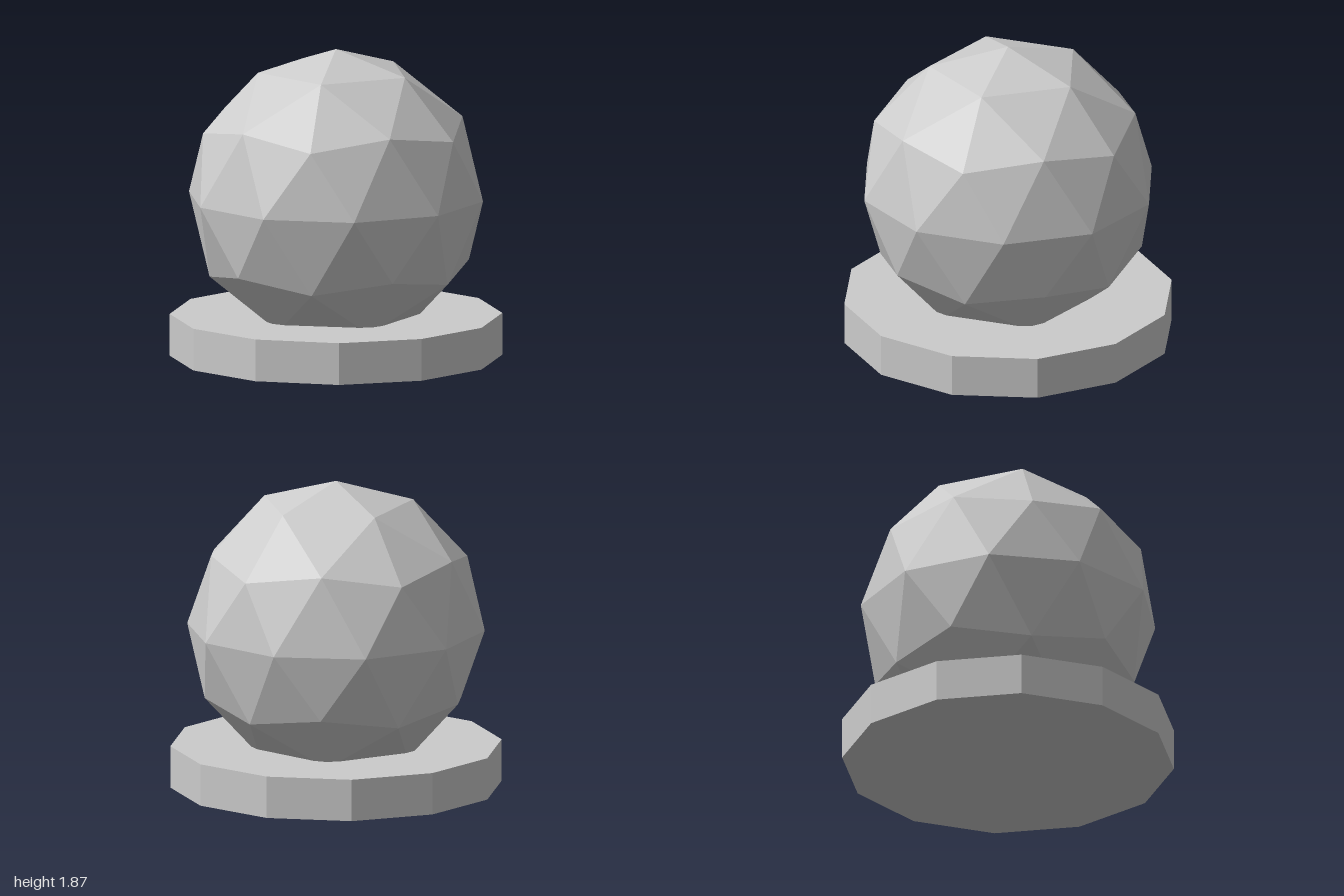
import * as THREE from 'three';

export function createModel() {
  const model = new THREE.Group();
  const material = new THREE.MeshStandardMaterial({ color: 0xcccccc, flatShading: true });

  const addPart = (name, geometry, y) => {
    geometry.computeVertexNormals();
    const mesh = new THREE.Mesh(geometry, material);
    mesh.name = name;
    mesh.position.y = y;
    model.add(mesh);
  };

  // Twelve-sided plinth, with a corner on each axis
  const baseHeight = 0.255;
  addPart('base', new THREE.CylinderGeometry(1, 1, baseHeight, 12).toNonIndexed(), baseHeight / 2);

  // Faceted ball sunk into the plinth, tilted so that one icosahedron corner points up
  const golden = (1 + Math.sqrt(5)) / 2;
  const ball = new THREE.IcosahedronGeometry(0.9, 1).rotateZ(-Math.atan(1 / golden));
  addPart('ball', ball, 0.97);

  return model;
}
